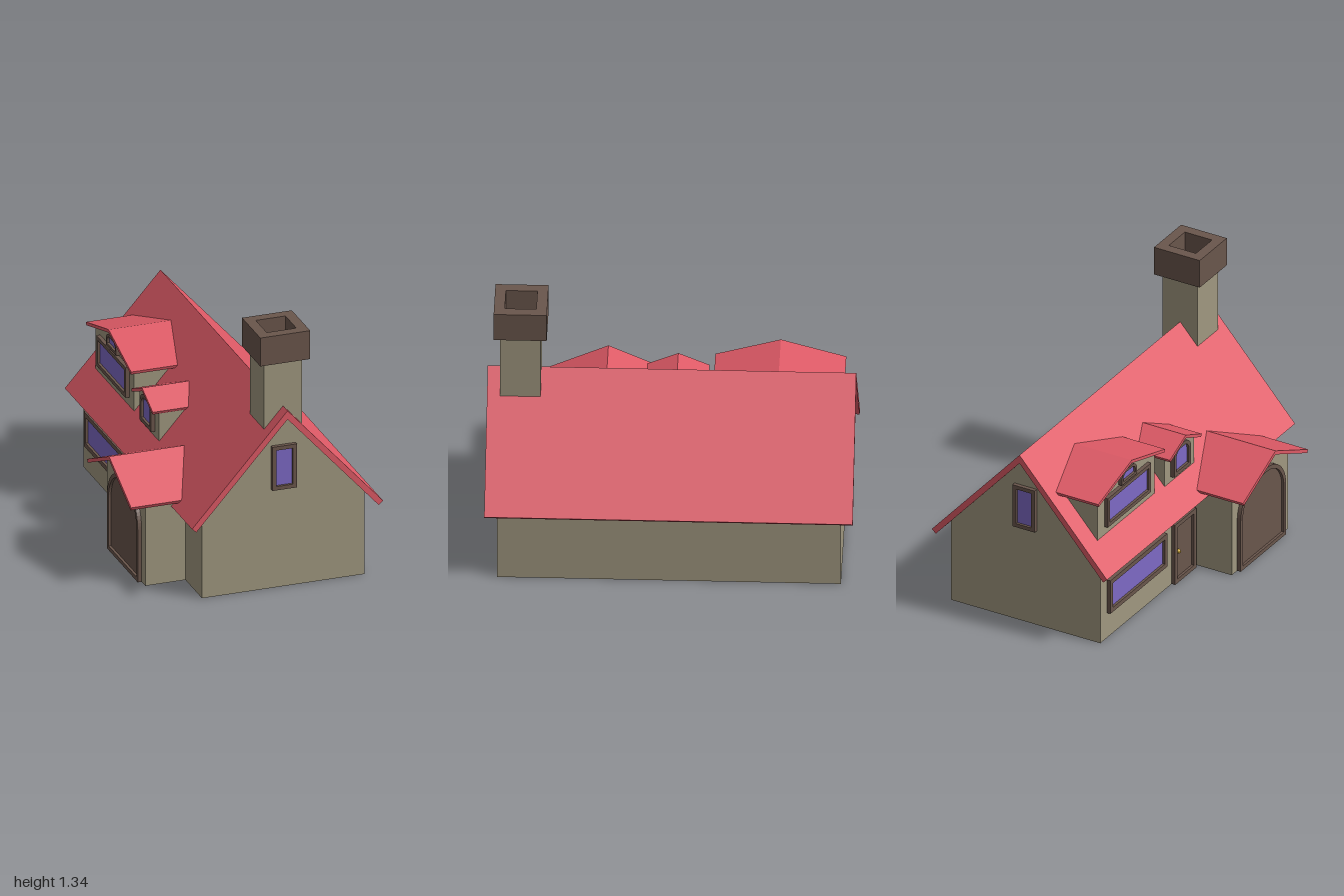
import * as THREE from 'three';

const mat = (color) => new THREE.MeshStandardMaterial({ color, flatShading: true });
const WALL = mat(0xa09880), ROOF = mat(0xde5a66), BROWN = mat(0x6a564c);
const GLASS = mat(0x7d69c5), GOLD = mat(0xd0a82c);

// Main roof: ridge height, eave height, half span
const RIDGE = 0.95, EAVE = 0.4, SPAN = 0.491;
const roofZ = (y) => (RIDGE - y) * SPAN / (RIDGE - EAVE);

function add(parent, name, geometry, material, x = 0, y = 0, z = 0) {
  const mesh = new THREE.Mesh(geometry, material);
  mesh.name = name;
  mesh.position.set(x, y, z);
  parent.add(mesh);
  return mesh;
}

const polygon = (points) => new THREE.Shape(points.map(([x, y]) => new THREE.Vector2(x, y)));
const extrude = (shape, depth) =>
  new THREE.ExtrudeGeometry(shape, { depth, bevelEnabled: false, curveSegments: 8 });

// Slab roof cross-section, with eaves cut square to the slope
function roofShape({ half, eave, ridge, t }) {
  const a = Math.atan2(ridge - eave, half);
  const hx = half - t * Math.sin(a), ey = eave - t * Math.cos(a);
  return polygon([[-half, eave], [-hx, ey], [0, ridge - t / Math.cos(a)], [hx, ey], [half, eave], [0, ridge]]);
}

// Gable wall cross-section that fills up to the underside of its roof
function wallShape({ half, eave, ridge, t, wall, base }) {
  const slope = (ridge - eave) / half;
  const top = ridge - t * Math.hypot(1, slope) + 0.002;
  const side = top - slope * wall;
  return polygon([[-wall, base], [wall, base], [wall, side], [0, top], [-wall, side]]);
}

// Extrusion whose back end is cut to meet the main roof plane
function cutToRoof(shape, front, limit) {
  const g = extrude(shape, 1);
  const p = g.attributes.position;
  for (let i = 0; i < p.count; i++) {
    const back = Math.min(roofZ(p.getY(i)) - 0.012, limit);
    p.setZ(i, p.getZ(i) > 0.5 ? front : back);
  }
  g.computeVertexNormals();
  return g;
}

// Rectangle standing on y = base, with the two top corners rounded by r
function panel(width, height, r, base = 0) {
  const w = width / 2, top = base + height, s = new THREE.Shape();
  s.moveTo(-w, base);
  s.lineTo(w, base);
  s.lineTo(w, top - r);
  if (r > 0) s.absarc(w - r, top - r, r, 0, Math.PI / 2, false);
  s.lineTo(-w + r, top);
  if (r > 0) s.absarc(-w + r, top - r, r, Math.PI / 2, Math.PI, false);
  s.lineTo(-w, base);
  return s;
}

// Frame with a recessed filling, facing +z
function framed(parent, name, width, height, r, border, fill, x, y, z) {
  const group = new THREE.Group();
  group.name = name;
  group.position.set(x, y, z);
  const inner = () => panel(width - 2 * border, height - 2 * border, Math.max(0, r - border), border);
  const frame = panel(width, height, r);
  frame.holes.push(inner());
  add(group, 'frame', extrude(frame, 0.025), BROWN, 0, 0, -0.005);
  add(group, 'filling', extrude(inner(), 0.012), fill, 0, 0, -0.005);
  parent.add(group);
  return group;
}

// Small gabled volume (dormer or porch) growing out of the front slope
function gabled(parent, name, o) {
  const group = new THREE.Group();
  group.name = name;
  group.position.x = o.x;
  add(group, 'walls', cutToRoof(wallShape(o), o.wallFront, Math.min(o.wallFront - 0.01, 0.41)), WALL);
  add(group, 'roof', cutToRoof(roofShape(o), o.roofFront, o.roofFront), ROOF);
  parent.add(group);
  return group;
}

export function createModel() {
  const model = new THREE.Group();
  model.name = 'house';
  const house = new THREE.Group();
  house.name = 'turnedHouse';
  house.rotation.y = -0.681;
  house.position.z = -0.008;
  model.add(house);

  // Main body and roof, extruded along the ridge
  const main = { half: SPAN, eave: EAVE, ridge: RIDGE, t: 0.03, wall: 0.418, base: 0 };
  const lengthwise = (shape, len) => extrude(shape, len).translate(0, 0, -len / 2).rotateY(Math.PI / 2);
  add(house, 'mainWalls', lengthwise(wallShape(main), 1.66), WALL);
  add(house, 'mainRoof', lengthwise(roofShape(main), 1.778), ROOF);

  // One narrow window in each gable end
  for (const side of [-1, 1]) {
    const w = framed(house, 'gableWindow', 0.125, 0.23, 0, 0.02, GLASS, side * 0.83, 0.52, 0);
    w.rotation.y = side * Math.PI / 2;
  }

  // Front wall: wide window and entrance door
  framed(house, 'frontWindow', 0.54, 0.183, 0, 0.024, GLASS, -0.498, 0.138, 0.418);
  const door = framed(house, 'frontDoor', 0.2, 0.33, 0, 0.022, BROWN, -0.055, 0, 0.418);
  add(door, 'knob', new THREE.SphereGeometry(0.012, 10, 8), GOLD, -0.066, 0.17, 0.018);

  // Porch with its large rounded door
  const porch = gabled(house, 'porch', {
    x: 0.332, half: 0.308, eave: 0.443, ridge: 0.585, t: 0.018,
    wall: 0.266, base: 0, wallFront: 0.624, roofFront: 0.712,
  });
  framed(porch, 'archedDoor', 0.43, 0.455, 0.18, 0.021, BROWN, 0, 0, 0.624);

  // Wide dormer: broad window with a little arched one in the gable
  const wide = gabled(house, 'wideDormer', {
    x: -0.511, half: 0.316, eave: 0.763, ridge: 0.855, t: 0.016,
    wall: 0.27, base: 0.51, wallFront: 0.373, roofFront: 0.405,
  });
  framed(wide, 'wideWindow', 0.41, 0.16, 0, 0.02, GLASS, 0, 0.577, 0.373);
  framed(wide, 'atticWindow', 0.145, 0.07, 0.045, 0.014, GLASS, 0, 0.745, 0.373);

  // Narrow dormer with an arched window
  const narrow = gabled(house, 'narrowDormer', {
    x: -0.016, half: 0.151, eave: 0.69, ridge: 0.756, t: 0.016,
    wall: 0.138, base: 0.5, wallFront: 0.378, roofFront: 0.415,
  });
  framed(narrow, 'archedWindow', 0.16, 0.155, 0.06, 0.02, GLASS, 0, 0.553, 0.378);

  // Chimney stack and hollow cap
  add(house, 'chimneyStack', new THREE.BoxGeometry(0.195, 0.5, 0.195), WALL, 0.728, 0.95, 0);
  const cap = panel(0.256, 0.256, 0, -0.128);
  cap.holes.push(panel(0.152, 0.152, 0, -0.076));
  add(house, 'chimneyCap', extrude(cap, 0.15).rotateX(-Math.PI / 2), BROWN, 0.728, 1.19, 0);

  return model;
}
